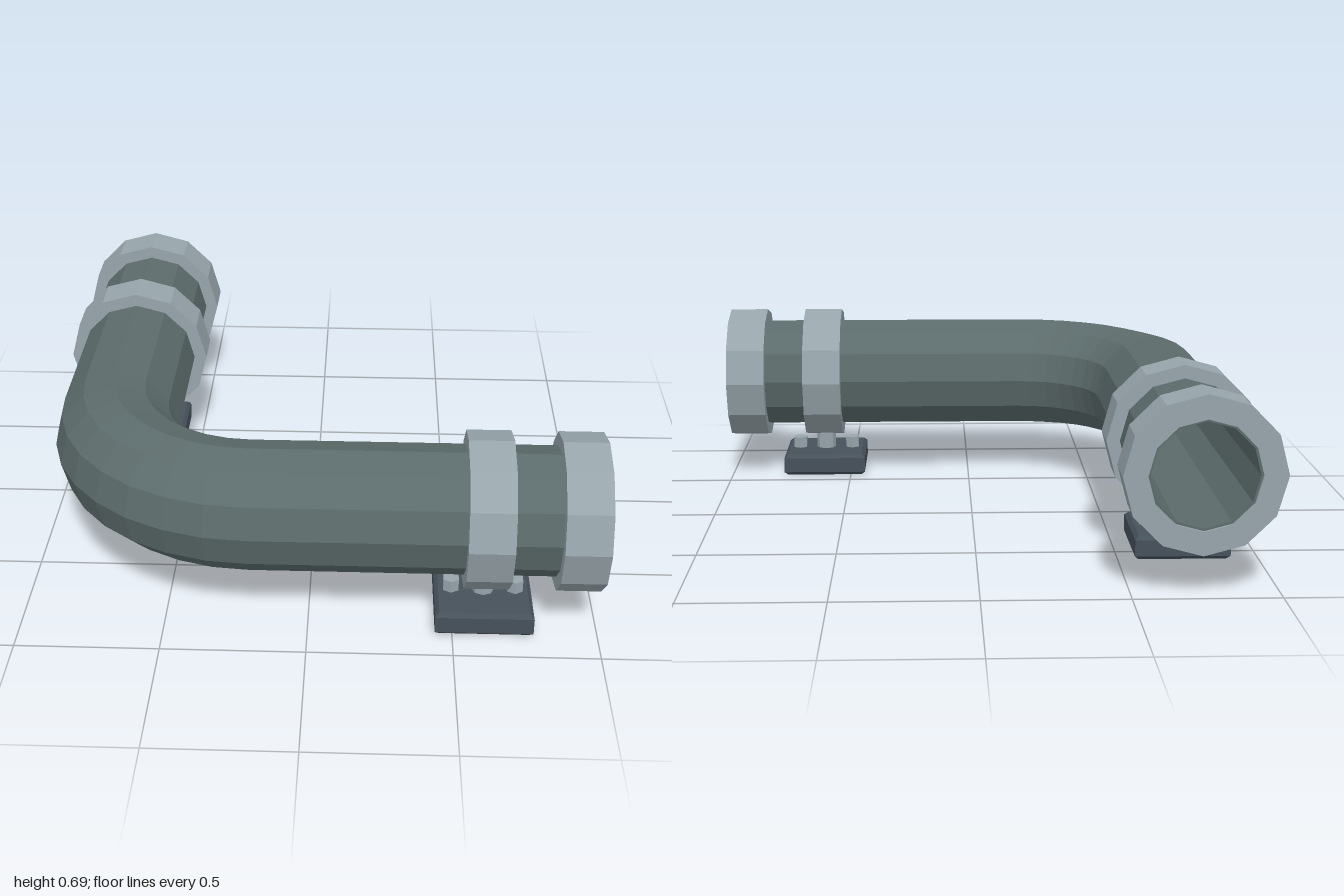
import * as THREE from 'three';

const SIDES = 12, AXIS_Y = 0.417, AXIS = 0.73, BEND = 0.53;
const mat = (color) => new THREE.MeshStandardMaterial({ color, flatShading: true });

function add(parent, name, geometry, material, x = 0, y = 0, z = 0) {
  const mesh = new THREE.Mesh(geometry, material);
  mesh.name = name;
  mesh.position.set(x, y, z);
  parent.add(mesh);
  return mesh;
}

// Hollow elbow: outer rings run forward along the path, inner rings run back
function pipeGeometry(outer, inner) {
  const c = BEND - AXIS; // x of the bend centre; its z is -c
  const stations = [{ x: -AXIS, z: -0.99, a: 0 }];
  for (let i = 0; i <= 8; i++) {
    const a = (i / 8) * Math.PI / 2;
    stations.push({ x: c - BEND * Math.cos(a), z: -c + BEND * Math.sin(a), a });
  }
  stations.push({ x: 0.99, z: AXIS, a: Math.PI / 2 });

  const rings = [
    ...stations.map((s) => ({ ...s, r: outer })),
    ...stations.slice().reverse().map((s) => ({ ...s, r: inner })),
  ];
  const pos = [], idx = [];
  rings.forEach(({ x, z, a, r }, i) => {
    const next = (i + 1) % rings.length;
    for (let j = 0; j < SIDES; j++) {
      const t = (j / SIDES) * Math.PI * 2, k = (j + 1) % SIDES;
      const side = r * Math.cos(t);
      pos.push(x - side * Math.cos(a), AXIS_Y + r * Math.sin(t), z + side * Math.sin(a));
      const p = i * SIDES + j, q = i * SIDES + k;
      const u = next * SIDES + j, v = next * SIDES + k;
      idx.push(p, u, q, q, u, v);
    }
  });
  const g = new THREE.BufferGeometry();
  g.setAttribute('position', new THREE.Float32BufferAttribute(pos, 3));
  g.setIndex(idx);
  g.computeVertexNormals();
  return g;
}

// Ring with a square section around the y axis
function collarGeometry(outer, inner, length) {
  const h = length / 2;
  const profile = [[inner, -h], [outer, -h], [outer, h], [inner, h], [inner, -h]];
  return new THREE.LatheGeometry(profile.map((p) => new THREE.Vector2(...p)), SIDES);
}

// Plate with chamfered edges, standing on y = 0
function plateGeometry(w, h, d, b) {
  const x = w / 2 - b, y = d / 2 - b;
  const shape = new THREE.Shape([[-x, -y], [x, -y], [x, y], [-x, y]].map((p) => new THREE.Vector2(...p)));
  const g = new THREE.ExtrudeGeometry(shape, {
    depth: h - 2 * b, bevelEnabled: true, bevelThickness: b, bevelSize: b, bevelSegments: 1,
  });
  return g.translate(0, 0, b).rotateX(-Math.PI / 2);
}

export function createModel() {
  const model = new THREE.Group();
  model.name = 'elbowPipe';
  const pipeMat = mat(0x5c6b6b), metal = mat(0x97a5ab), dark = mat(0x46515a);

  add(model, 'pipe', pipeGeometry(0.223, 0.18), pipeMat);

  // Collars: one at each open end and one over each foot
  const collar = collarGeometry(0.271, 0.188, 0.154);
  for (const [name, d] of [['endCollar', 0.923], ['supportCollar', 0.61]]) {
    add(model, name + 'Front', collar, metal, d, AXIS_Y, AXIS).rotation.z = -Math.PI / 2;
    const back = d === 0.61 ? -0.445 : -d;
    add(model, name + 'Back', collar, metal, -AXIS, AXIS_Y, back).rotation.x = Math.PI / 2;
  }

  // Feet: plate, post and two bolts
  const plate = plateGeometry(0.34, 0.088, 0.32, 0.014);
  const post = new THREE.CylinderGeometry(0.04, 0.04, 0.1, 8);
  const bolt = new THREE.CylinderGeometry(0.031, 0.031, 0.05, 6);
  for (const [name, x, z] of [['footFront', 0.61, AXIS], ['footBack', -AXIS, -0.44]]) {
    const foot = new THREE.Group();
    foot.name = name;
    foot.position.set(x, 0, z);
    add(foot, 'plate', plate, dark);
    add(foot, 'post', post, metal, 0, 0.13, 0);
    for (const s of [-1, 1]) add(foot, 'bolt', bolt, metal, s * 0.112, 0.108, 0);
    model.add(foot);
  }
  return model;
}
